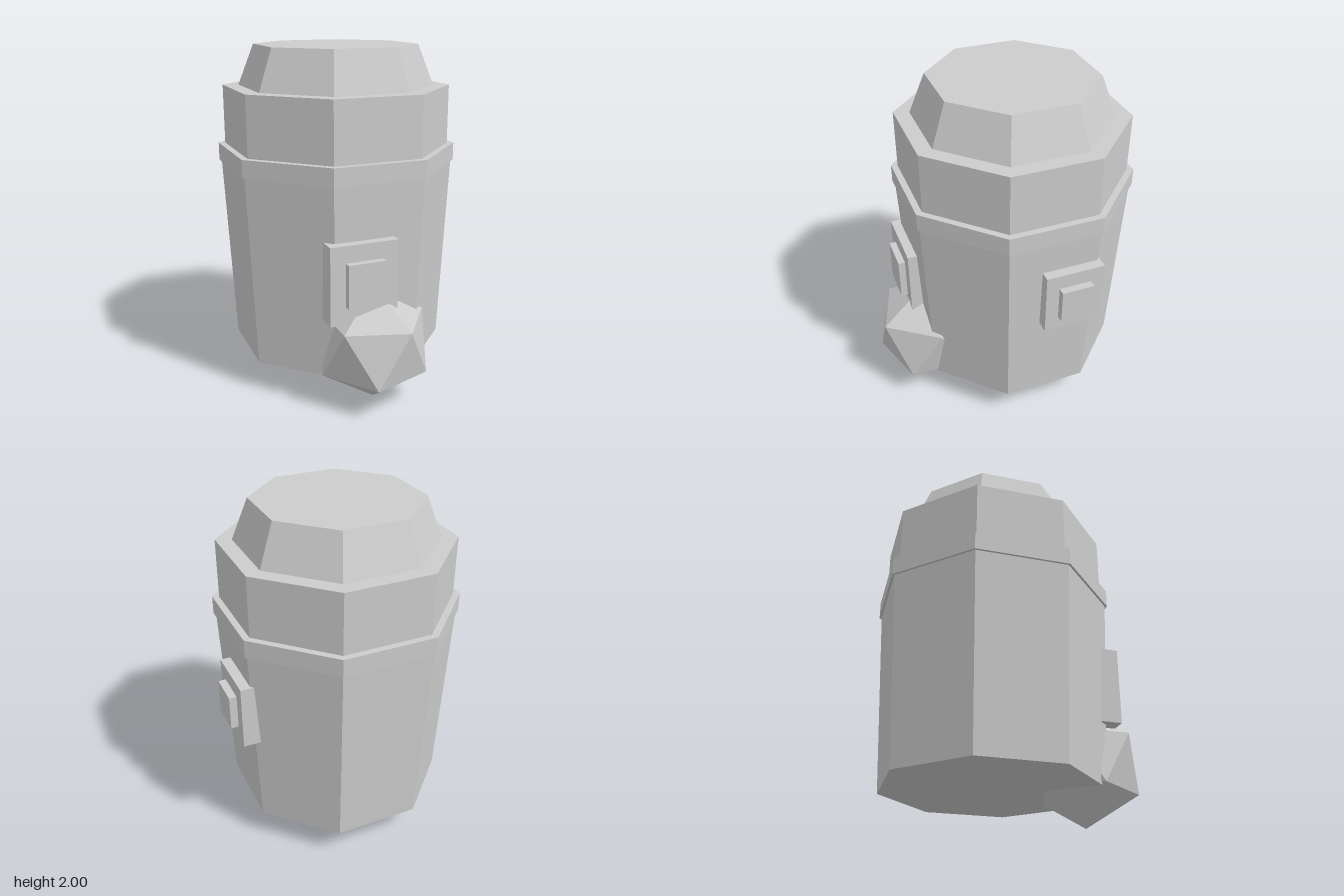
import * as THREE from 'three';
import { ConvexGeometry } from 'three/addons/geometries/ConvexGeometry.js';

export function createModel() {
  const model = new THREE.Group();
  model.name = 'octagonalCanister';
  const grey = new THREE.MeshStandardMaterial({ color: 0xcccccc, flatShading: true });
  grey.name = 'plain grey';

  const CX = -0.043, CZ = -0.102;

  const add = (name, geometry, x, y, z) => {
    const mesh = new THREE.Mesh(geometry, grey);
    mesh.name = name;
    mesh.position.set(x, y, z);
    model.add(mesh);
  };

  // Eight-sided tier; sizes are centre-to-flat distances
  const tier = (name, y0, y1, bottom, top) => {
    const k = 1 / Math.cos(Math.PI / 8);
    const g = new THREE.CylinderGeometry(top * k, bottom * k, y1 - y0, 8, 1, false, Math.PI / 8);
    add(name, g, CX, (y0 + y1) / 2, CZ);
  };
  tier('body', 0.18, 1.31, 0.594, 0.644);
  tier('rimBand', 1.31, 1.415, 0.657, 0.657);
  tier('collar', 1.415, 1.763, 0.62, 0.62);
  tier('lid', 1.763, 2, 0.533, 0.446);

  // Box given by its minimum and maximum corners
  const block = (name, [x0, y0, z0], [x1, y1, z1]) =>
    add(name, new THREE.BoxGeometry(x1 - x0, y1 - y0, z1 - z0),
      (x0 + x1) / 2, (y0 + y1) / 2, (z0 + z1) / 2);

  // Stepped panels on the front and left side
  block('frontPanel', [-0.35, 0.542, 0.45], [0.05, 0.995, 0.583]);
  block('frontPanelButton', [-0.26, 0.645, 0.56], [-0.04, 0.897, 0.623]);
  block('sidePanel', [0.52, 0.742, -0.382], [0.652, 1.118, -0.035]);
  block('sidePanelButton', [0.63, 0.828, -0.303], [0.695, 1.03, -0.113]);

  // Twenty-sided gem at the foot: two poles and two staggered rings of five
  const R = 0.35, h = R / Math.sqrt(5);
  const points = [new THREE.Vector3(0, R, 0), new THREE.Vector3(0, -R, 0)];
  for (let i = 0; i < 5; i++) {
    const a = (i * 2 * Math.PI) / 5, turn = Math.PI / 10;
    points.push(new THREE.Vector3(2 * h * Math.sin(a + turn), h, 2 * h * Math.cos(a + turn)));
    points.push(new THREE.Vector3(2 * h * Math.sin(a - turn), -h, 2 * h * Math.cos(a - turn)));
  }
  add('footGem', new ConvexGeometry(points), CX, 0.352, 0.464);

  return model;
}
